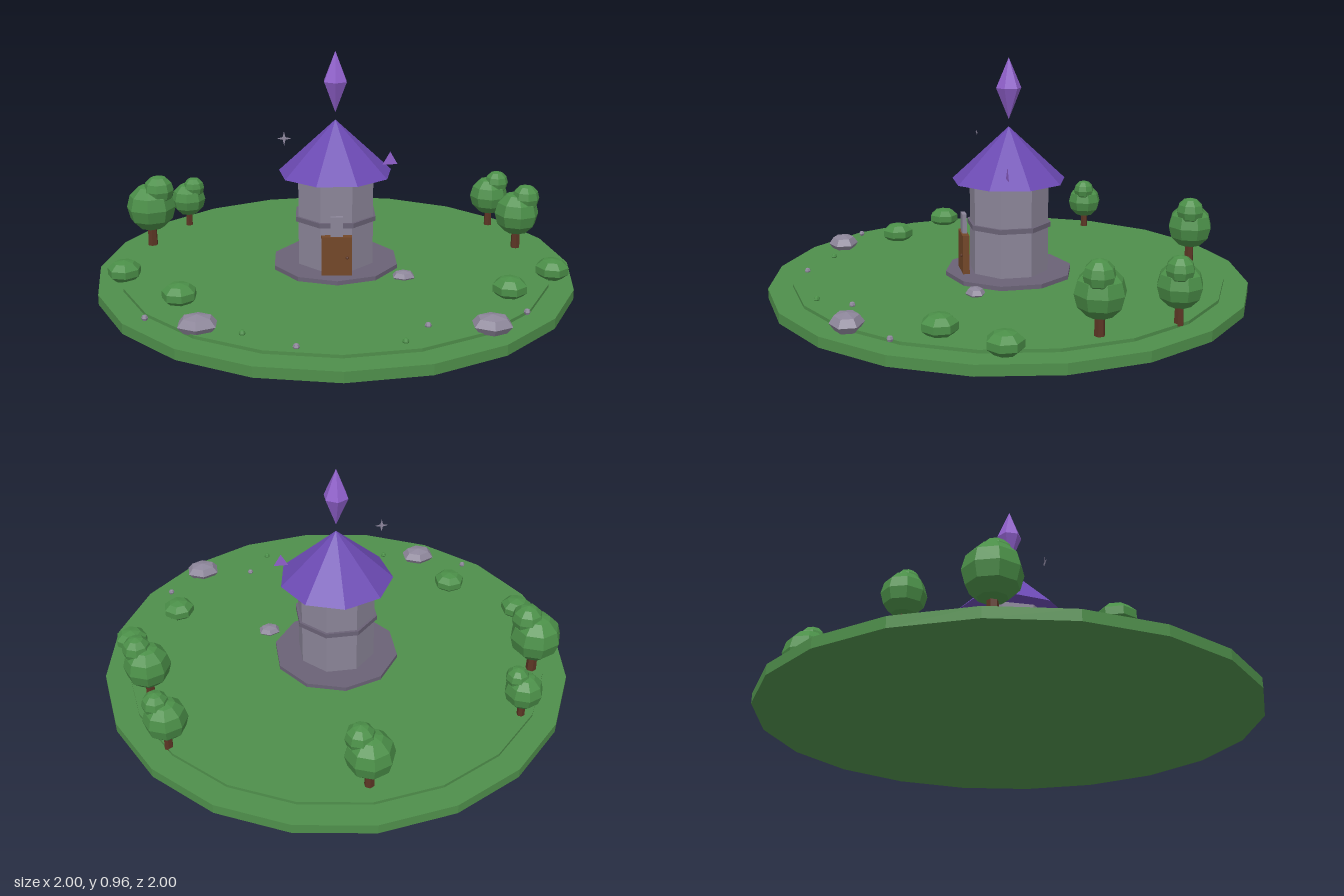
import * as THREE from 'three';

const mat = (name, color, extra = {}) => {
  const m = new THREE.MeshStandardMaterial({ color, flatShading: true, ...extra });
  m.name = name;
  return m;
};

export function createModel() {
  const grass = mat('grass green', 0x4f8f4b);
  const leaf = mat('leaf green', 0x4b8f48);
  const wall = mat('wall stone', 0x8b8598);
  const darkStone = mat('dark stone', 0x6a6276);
  const rockGrey = mat('rock grey', 0x8d869a);
  const roofPurple = mat('roof purple', 0x6b49b2);
  const crystalPurple = mat('crystal purple', 0x9060cc, { side: THREE.DoubleSide });
  const wood = mat('door wood', 0x734728);
  const bark = mat('bark', 0x5c3524);
  const silver = mat('sparkle grey', 0x8d869c, { side: THREE.DoubleSide });

  const root = new THREE.Group();
  root.name = 'towerIsland';
  const add = (parent, name, geo, material, x = 0, y = 0, z = 0) => {
    const m = new THREE.Mesh(geo, material);
    m.name = name;
    m.position.set(x, y, z);
    parent.add(m);
    return m;
  };
  // Prism or cone standing between two heights
  const prism = (name, rTop, rBottom, y0, y1, sides, material, turn = 0) => {
    const m = add(root, name, new THREE.CylinderGeometry(rTop, rBottom, y1 - y0, sides), material, 0, (y0 + y1) / 2);
    m.rotation.y = turn;
    return m;
  };

  // Ground
  prism('groundDisc', 1, 1, 0, 0.042, 20, grass);
  prism('innerLawn', 0.9, 0.9, 0.03, 0.055, 20, grass);

  // Tower
  prism('plinth', 0.27, 0.27, 0.05, 0.073, 10, darkStone);
  prism('towerWall', 0.168, 0.168, 0.07, 0.46, 8, wall, Math.PI / 8);
  prism('wallBand', 0.179, 0.179, 0.262, 0.282, 8, darkStone, Math.PI / 8);
  prism('roof', 0, 0.24, 0.455, 0.68, 9, roofPurple, Math.PI);

  // Floating crystal
  prism('crystalTop', 0, 0.053, 0.84, 0.965, 6, crystalPurple);
  prism('crystalBottom', 0.053, 0, 0.71, 0.84, 6, crystalPurple);

  // Door with a stone post above
  add(root, 'door', new THREE.BoxGeometry(0.125, 0.165, 0.028), wood, 0, 0.155, 0.192);
  add(root, 'doorPost', new THREE.BoxGeometry(0.05, 0.09, 0.018), wall, 0, 0.275, 0.192);
  add(root, 'doorKnob', new THREE.SphereGeometry(0.007, 6, 4), bark, 0.042, 0.15, 0.208);

  // Floating sparkles
  const starShape = new THREE.Shape();
  for (let i = 0; i < 8; i++) {
    const r = i % 2 ? 0.008 : 0.03, a = (i * Math.PI) / 4;
    starShape[i ? 'lineTo' : 'moveTo'](r * Math.cos(a), r * Math.sin(a));
  }
  add(root, 'starSparkle', new THREE.ShapeGeometry(starShape), silver, -0.21, 0.625, 0.1);
  const triangle = new THREE.CircleGeometry(0.036, 3, Math.PI / 2);
  add(root, 'triangleSparkle', triangle, crystalPurple, 0.225, 0.518, 0.05);

  // Trees: [x, z, size]
  const trees = [[-0.813, -0.245, 1], [-0.68, -0.52, 0.73], [0, -0.81, 0.9], [0.807, -0.165, 0.9], [0.74, -0.485, 0.82]];
  for (const [x, z, s] of trees) {
    const tree = new THREE.Group();
    tree.name = 'tree';
    tree.position.set(x, 0.05, z);
    tree.scale.setScalar(s);
    root.add(tree);
    add(tree, 'trunk', new THREE.CylinderGeometry(0.019, 0.023, 0.13, 6), bark, 0, 0.062, 0);
    add(tree, 'crown', new THREE.SphereGeometry(0.108, 8, 6), leaf, 0, 0.183, 0);
    add(tree, 'crownTop', new THREE.SphereGeometry(0.067, 8, 6), leaf, 0.038, 0.264, 0.016);
  }

  // Bushes
  for (const [x, z] of [[-0.87, 0.16], [-0.615, 0.415], [0.675, 0.385], [0.888, 0.19]]) {
    add(root, 'bush', new THREE.SphereGeometry(0.072, 7, 5), leaf, x, 0.086, z).scale.y = 0.64;
  }

  // Rocks: [x, z, size]
  for (const [x, z, s] of [[-0.52, 0.675, 1], [0.55, 0.705, 1], [0.275, 0.19, 0.62]]) {
    const rock = add(root, 'rock', new THREE.SphereGeometry(0.065, 6, 4).rotateY(Math.PI / 2), rockGrey, x, 0.04 + 0.035 * s, z);
    rock.scale.set(1.23 * s, 0.6 * s, s);
  }

  // Pebbles and small sprouts
  const pebble = new THREE.SphereGeometry(0.013, 6, 4);
  for (const [x, z] of [[-0.725, 0.58], [0.707, 0.563], [0.32, 0.675], [-0.16, 0.84]]) {
    add(root, 'pebble', pebble, rockGrey, x, 0.06, z);
  }
  for (const [x, z] of [[-0.355, 0.723], [0.225, 0.807]]) add(root, 'sprout', pebble, leaf, x, 0.06, z);

  return root;
}
